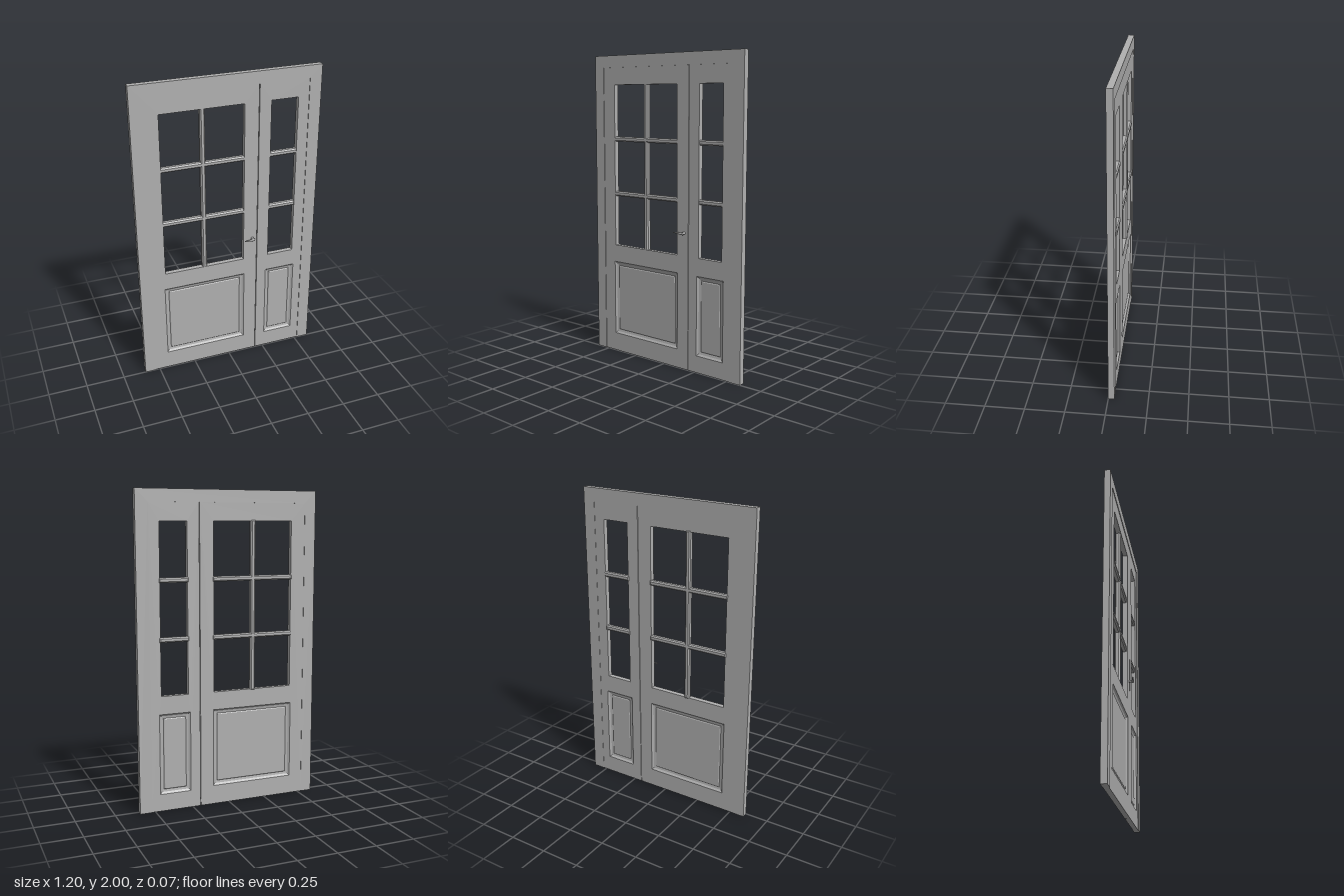
import * as THREE from 'three';

const paint = new THREE.MeshStandardMaterial({ color: 0xb0b0b0 });
paint.name = 'grey paint';

function add(parent, name, geometry) {
  const mesh = new THREE.Mesh(geometry, paint);
  mesh.name = name;
  parent.add(mesh);
  return mesh;
}

// Rectangular rings [inset, z], from back to front, joined and capped
function steppedSlab([x0, x1, y0, y1], rings) {
  const pos = [], index = [];
  rings.forEach(([d, z], r) => {
    pos.push(x0 + d, y0 + d, z, x1 - d, y0 + d, z, x1 - d, y1 - d, z, x0 + d, y1 - d, z);
    if (r === 0) return;
    for (let j = 0; j < 4; j++) {
      const a = (r - 1) * 4 + j, b = (r - 1) * 4 + (j + 1) % 4;
      index.push(a, b, b + 4, a, b + 4, a + 4);
    }
  });
  const n = (rings.length - 1) * 4;
  index.push(0, 2, 1, 0, 3, 2, n, n + 1, n + 2, n, n + 2, n + 3);
  let geometry = new THREE.BufferGeometry();
  geometry.setAttribute('position', new THREE.Float32BufferAttribute(pos, 3));
  geometry.setIndex(index);
  geometry = geometry.toNonIndexed();
  geometry.computeVertexNormals();
  return geometry;
}

const points = (list) => list.map(([x, y]) => new THREE.Vector2(x, y));
const rect = ([x0, x1, y0, y1]) => points([[x0, y0], [x1, y0], [x1, y1], [x0, y1]]);

function extrude(shape, back, front) {
  const geometry = new THREE.ExtrudeGeometry(shape, { depth: front - back, bevelEnabled: false });
  return geometry.translate(0, 0, back);
}

// One door leaf: stiles and rails, moulded panel and glazing bars
function makeLeaf(name, outline, window, panel, uprights) {
  const leaf = new THREE.Group();
  leaf.name = name;
  const shape = new THREE.Shape(rect(outline));
  shape.holes.push(new THREE.Path(rect(window)), new THREE.Path(rect(panel)));
  add(leaf, 'stilesAndRails', extrude(shape, -0.036, -0.003));

  add(leaf, 'lowerPanel', steppedSlab(panel, [
    [0.034, -0.027], [0.028, -0.023], [0.012, -0.026], [0, -0.036],
    [0, -0.003], [0.012, -0.012], [0.028, -0.016], [0.034, -0.012],
  ]));

  const barRings = [[0.008, -0.041], [0, -0.034], [0, -0.014], [0.008, -0.005]];
  const [x0, x1, y0, y1] = window;
  for (const y of [1.09, 1.455]) {
    add(leaf, 'crossBar', steppedSlab([x0 - 0.008, x1 + 0.008, y - 0.016, y + 0.016], barRings));
  }
  for (const x of uprights) {
    add(leaf, 'uprightBar', steppedSlab([x - 0.016, x + 0.016, y0 - 0.008, y1 + 0.008], barRings));
  }
  return leaf;
}

export function createModel() {
  const door = new THREE.Group();
  door.name = 'door';

  // Outer frame: two posts and a head, open at the floor
  const frameShape = new THREE.Shape(points([
    [-0.6, 0], [-0.525, 0], [-0.525, 1.922], [0.522, 1.922],
    [0.522, 0], [0.6, 0], [0.6, 2], [-0.6, 2],
  ]));
  add(door, 'frame', extrude(frameShape, -0.038, 0.001));

  door.add(makeLeaf('wideLeaf', [-0.525, 0.194, 0, 1.922],
    [-0.43, 0.103, 0.74, 1.81], [-0.438, 0.108, 0.122, 0.625], [-0.163]));
  door.add(makeLeaf('narrowLeaf', [0.198, 0.522, 0, 1.922],
    [0.275, 0.452, 0.74, 1.81], [0.262, 0.466, 0.11, 0.625], []));

  // Strip closing the gap between the leaves
  add(door, 'meetingStrip', new THREE.BoxGeometry(0.008, 1.92, 0.014).translate(0.196, 0.96, -0.02));

  // Lever handle on the front
  const handle = new THREE.Group();
  handle.name = 'handle';
  add(handle, 'spindle', new THREE.CylinderGeometry(0.007, 0.009, 0.03, 10)
    .rotateX(Math.PI / 2).translate(0.163, 0.887, 0.011));
  const lever = add(handle, 'lever', new THREE.CylinderGeometry(0.003, 0.009, 0.07, 10));
  lever.position.set(0.135, 0.888, 0.026);
  lever.rotation.set(0, 0.14, Math.PI / 2 - 0.06);
  door.add(handle);

  return door;
}
